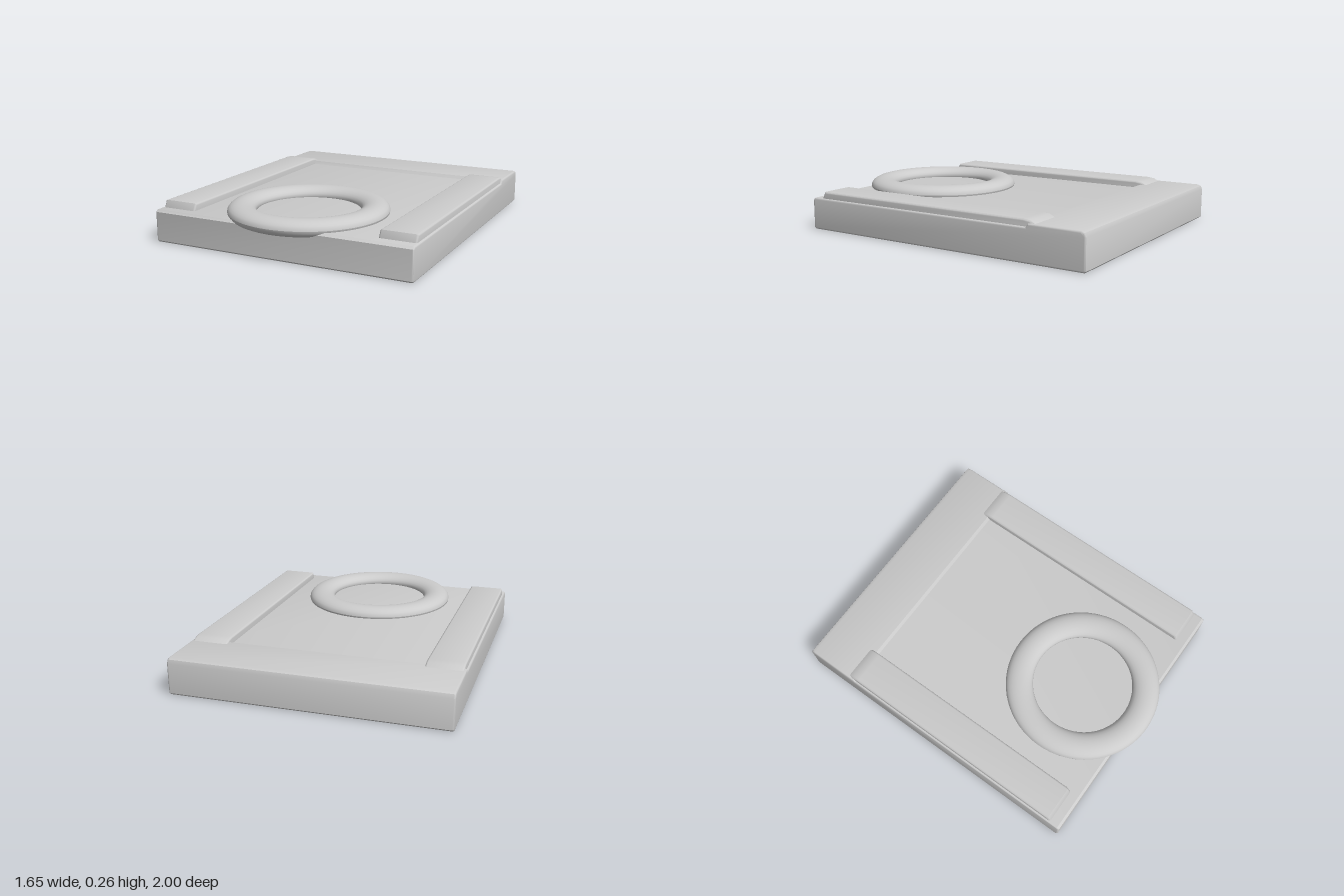
import * as THREE from 'three';
import { toCreasedNormals } from 'three/addons/utils/BufferGeometryUtils.js';

const material = new THREE.MeshStandardMaterial({ color: 0xcccccc });

// Extrudes a side profile of [z, y] points along x, centred on x = 0, with softened edges
function extrudeAcross(points, width, bevel) {
  const shape = new THREE.Shape(points.map(([z, y]) => new THREE.Vector2(z, y)));
  const geometry = new THREE.ExtrudeGeometry(shape, {
    depth: width - 2 * bevel,
    bevelEnabled: true,
    bevelThickness: bevel,
    bevelSize: bevel,
    bevelOffset: -bevel,
    bevelSegments: 3,
  });
  geometry.translate(0, 0, -(width - 2 * bevel) / 2);
  geometry.rotateY(-Math.PI / 2);
  return toCreasedNormals(geometry, 0.6);
}

function addMesh(parent, name, geometry) {
  const mesh = new THREE.Mesh(geometry, material);
  mesh.name = name;
  parent.add(mesh);
  return mesh;
}

export function createModel() {
  const group = new THREE.Group();
  group.name = 'slabWithRing';

  // Base slab with a slightly higher band along the back
  addMesh(group, 'slab', extrudeAcross([
    [-0.99, 0], [0.9, 0], [0.91, 0.01], [0.91, 0.185], [0.895, 0.198],
    [-0.64, 0.2], [-0.655, 0.22], [-0.97, 0.22], [-0.99, 0.212], [-1, 0.19], [-1, 0.01],
  ], 1.65, 0.012));

  // Raised side rails with sloped ends
  const railGeometry = extrudeAcross([
    [-0.71, 0.15], [0.84, 0.15], [0.84, 0.2], [0.82, 0.24],
    [-0.62, 0.241], [-0.66, 0.236], [-0.69, 0.222], [-0.71, 0.212],
  ], 0.22, 0.012);
  for (const [name, side] of [['leftRail', 1], ['rightRail', -1]]) {
    addMesh(group, name, railGeometry).position.x = side * 0.703;
  }

  // Flattened ring overhanging the front edge
  const ringProfile = [];
  for (let i = 0; i <= 24; i++) {
    const a = (i / 24) * Math.PI * 2;
    ringProfile.push(new THREE.Vector2(0.395 + 0.085 * Math.cos(a), 0.209 + 0.051 * Math.sin(a)));
  }
  const ring = addMesh(group, 'ring', new THREE.LatheGeometry(ringProfile, 72));
  ring.position.z = 0.52;

  return group;
}
